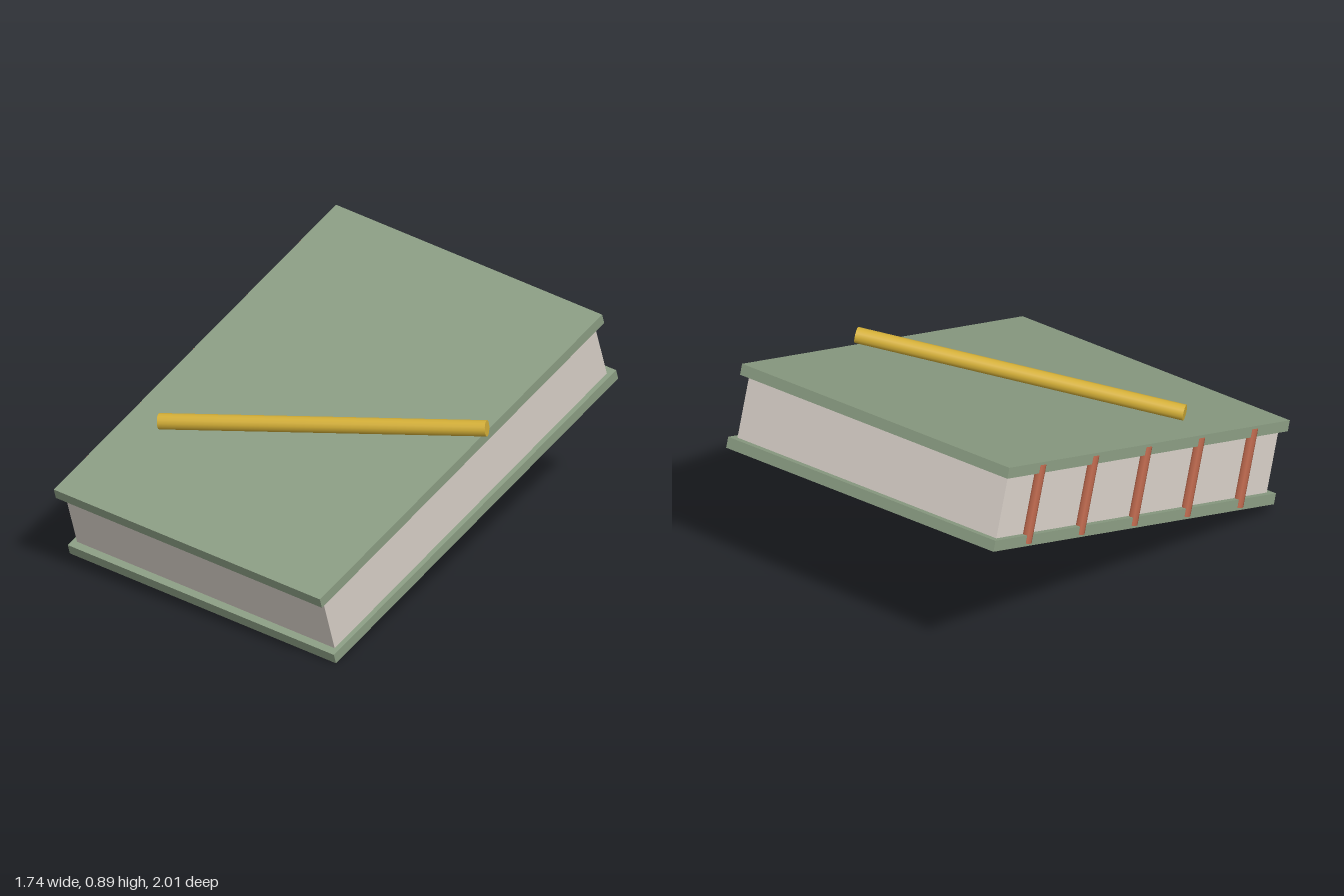
import * as THREE from 'three';

export function createModel() {
  const mat = (name, color) => Object.assign(new THREE.MeshStandardMaterial({ color }), { name });
  const sage = mat('sage cover', 0x8b9d83);
  const paper = mat('paper', 0xd8d0c8);
  const brown = mat('terracotta cord', 0xb8654a);
  const gold = mat('gold', 0xd4af37);

  const W = 1.255, L = 1.68, H = 0.322, T = 0.042;
  const book = new THREE.Group();
  book.name = 'tiltedBook';
  const add = (name, geometry, material, x, y, z) => {
    const mesh = new THREE.Mesh(geometry, material);
    mesh.name = name;
    mesh.position.set(x, y, z);
    book.add(mesh);
    return mesh;
  };

  // Two cover boards and the slightly inset page block
  const board = new THREE.BoxGeometry(W, T, L);
  add('frontCover', board, sage, 0, (H - T) / 2, 0);
  add('backCover', board, sage, 0, -(H - T) / 2, 0);
  add('pages', new THREE.BoxGeometry(W - 0.04, H - 2 * T, L - 0.06), paper, 0, 0, 0);

  // Five raised cords along the spine
  const cord = new THREE.CylinderGeometry(0.02, 0.02, 0.3, 8);
  for (let i = -2; i <= 2; i++) add('spineCord', cord, brown, -W / 2 + 0.01, 0, i * 0.317);

  // Round rod lying across the cover
  const r = 0.03;
  const a = new THREE.Vector3(-0.477, H / 2 + r, 0.394);
  const b = new THREE.Vector3(0.644, H / 2 + r, -0.143);
  const dir = b.clone().sub(a);
  const rod = add('rod', new THREE.CylinderGeometry(r, r, dir.length(), 14), gold,
    (a.x + b.x) / 2, a.y, (a.z + b.z) / 2);
  rod.quaternion.setFromUnitVectors(new THREE.Vector3(0, 1, 0), dir.normalize());

  // Tilt the whole book: its width, thickness and length axes
  const u = new THREE.Vector3(0.946, -0.032, 0.322).normalize();
  const v = new THREE.Vector3(-0.313, -0.322, 0.893);
  const n = v.clone().cross(u).normalize();
  v.crossVectors(u, n);
  book.quaternion.setFromRotationMatrix(new THREE.Matrix4().makeBasis(u, n, v));
  book.position.y = 0.445;

  const model = new THREE.Group();
  model.name = 'book';
  model.add(book);
  return model;
}
